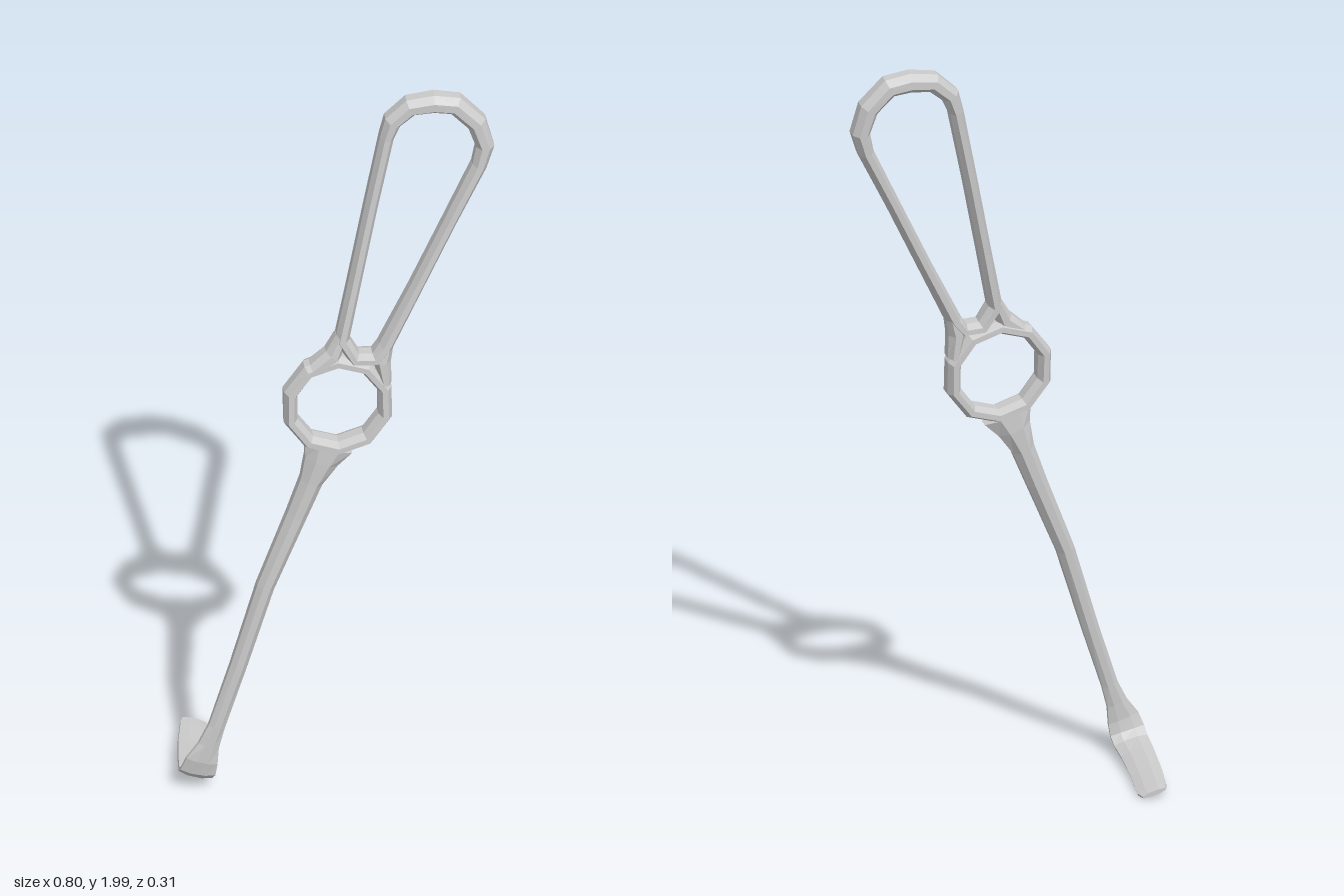
import * as THREE from 'three';

const SIDES = 8;
const material = new THREE.MeshStandardMaterial({ color: 0xcccccc, flatShading: true, roughness: 0.6 });

// Loft an octagonal section along points [x, y, z, width, depth].
// With `side` the width axis is fixed; otherwise it lies in the xy plane across the path.
function loft(name, pts, { closed = false, side = null } = {}) {
  const n = pts.length;
  const at = (i) => {
    const p = pts[closed ? (i + n) % n : Math.min(Math.max(i, 0), n - 1)];
    return new THREE.Vector3(p[0], p[1], p[2]);
  };
  const pos = [];
  const idx = [];
  for (let i = 0; i < n; i++) {
    const before = at(i).sub(at(i - 1)).normalize();
    const after = at(i + 1).sub(at(i)).normalize();
    const t = before.add(after).normalize();
    const s = side ? side.clone() : t.clone().cross(new THREE.Vector3(0, 0, 1));
    s.addScaledVector(t, -s.dot(t)).normalize();
    const nrm = t.clone().cross(s);
    for (let k = 0; k < SIDES; k++) {
      const a = ((k + 0.5) / SIDES) * Math.PI * 2;
      const p = at(i)
        .addScaledVector(s, Math.cos(a) * pts[i][3] * 0.54)
        .addScaledVector(nrm, Math.sin(a) * pts[i][4] * 0.54);
      pos.push(p.x, p.y, p.z);
    }
  }
  const spans = closed ? n : n - 1;
  for (let i = 0; i < spans; i++) {
    const r0 = i * SIDES;
    const r1 = ((i + 1) % n) * SIDES;
    for (let k = 0; k < SIDES; k++) {
      const k1 = (k + 1) % SIDES;
      idx.push(r0 + k, r0 + k1, r1 + k1, r0 + k, r1 + k1, r1 + k);
    }
  }
  if (!closed) {
    const e = (n - 1) * SIDES;
    for (let k = 1; k < SIDES - 1; k++) {
      idx.push(0, k + 1, k, e, e + k, e + k + 1);
    }
  }
  const geo = new THREE.BufferGeometry();
  geo.setAttribute('position', new THREE.Float32BufferAttribute(pos, 3));
  geo.setIndex(idx);
  geo.computeVertexNormals();
  const mesh = new THREE.Mesh(geo, material);
  mesh.name = name;
  return mesh;
}

export function createModel() {
  const model = new THREE.Group();
  model.name = 'retractor';

  // Long open grip loop, rounded at the top and narrowing to the ring
  model.add(loft('gripLoop', [
    [0.012, 1.31, 0.088, 0.038, 0.068],
    [0.045, 1.47, 0.074, 0.034, 0.062],
    [0.088, 1.68, 0.056, 0.034, 0.062],
    [0.13, 1.88, 0.043, 0.036, 0.062],
    [0.145, 1.925, 0.042, 0.045, 0.064],
    [0.19, 1.966, 0.042, 0.05, 0.064],
    [0.25, 1.974, 0.044, 0.052, 0.066],
    [0.305, 1.966, 0.047, 0.052, 0.066],
    [0.357, 1.912, 0.053, 0.05, 0.066],
    [0.377, 1.845, 0.057, 0.046, 0.064],
    [0.362, 1.79, 0.06, 0.038, 0.062],
    [0.285, 1.63, 0.07, 0.034, 0.062],
    [0.2, 1.45, 0.082, 0.034, 0.064],
    [0.12, 1.285, 0.092, 0.038, 0.068],
    [0.095, 1.253, 0.094, 0.036, 0.07],
    [0.045, 1.255, 0.094, 0.036, 0.07],
  ], { closed: true }));

  // Finger ring, tilted slightly back at the top
  const ring = [];
  for (let i = 0; i < 10; i++) {
    const a = ((i + 0.5) / 10) * Math.PI * 2;
    const y = Math.sin(a) * 0.125;
    ring.push([Math.cos(a) * 0.125, 1.125 + y, 0.098 - y * 0.06, 0.036, 0.07]);
  }
  model.add(loft('fingerRing', ring, { closed: true }));

  // Fillets joining the grip arms to the ring
  model.add(loft('innerFillet', [
    [0.01, 1.32, 0.087, 0.03, 0.06],
    [-0.012, 1.268, 0.092, 0.045, 0.066],
    [-0.065, 1.228, 0.094, 0.032, 0.066],
  ]));
  model.add(loft('outerFillet', [
    [0.128, 1.3, 0.09, 0.03, 0.06],
    [0.112, 1.245, 0.094, 0.045, 0.066],
    [0.121, 1.18, 0.096, 0.03, 0.066],
  ]));

  // Flared neck, tapering shaft and the flat blade bent towards the back
  model.add(loft('shaftAndBlade', [
    [-0.025, 1.003, 0.103, 0.13, 0.066],
    [-0.042, 0.96, 0.103, 0.088, 0.068],
    [-0.067, 0.9, 0.104, 0.058, 0.064],
    [-0.105, 0.8, 0.108, 0.052, 0.06],
    [-0.185, 0.6, 0.12, 0.045, 0.055],
    [-0.255, 0.37, 0.132, 0.042, 0.044],
    [-0.31, 0.2, 0.141, 0.042, 0.03],
    [-0.33, 0.145, 0.143, 0.054, 0.025],
    [-0.347, 0.1, 0.144, 0.082, 0.022],
    [-0.356, 0.065, 0.138, 0.09, 0.022],
    [-0.359, 0.045, 0.115, 0.088, 0.022],
    [-0.357, 0.038, 0.06, 0.084, 0.02],
    [-0.347, 0.028, -0.04, 0.08, 0.018],
    [-0.333, 0.021, -0.13, 0.076, 0.016],
    [-0.331, 0.021, -0.155, 0.062, 0.012],
  ], { side: new THREE.Vector3(0.95, -0.3, 0) }));

  return model;
}
